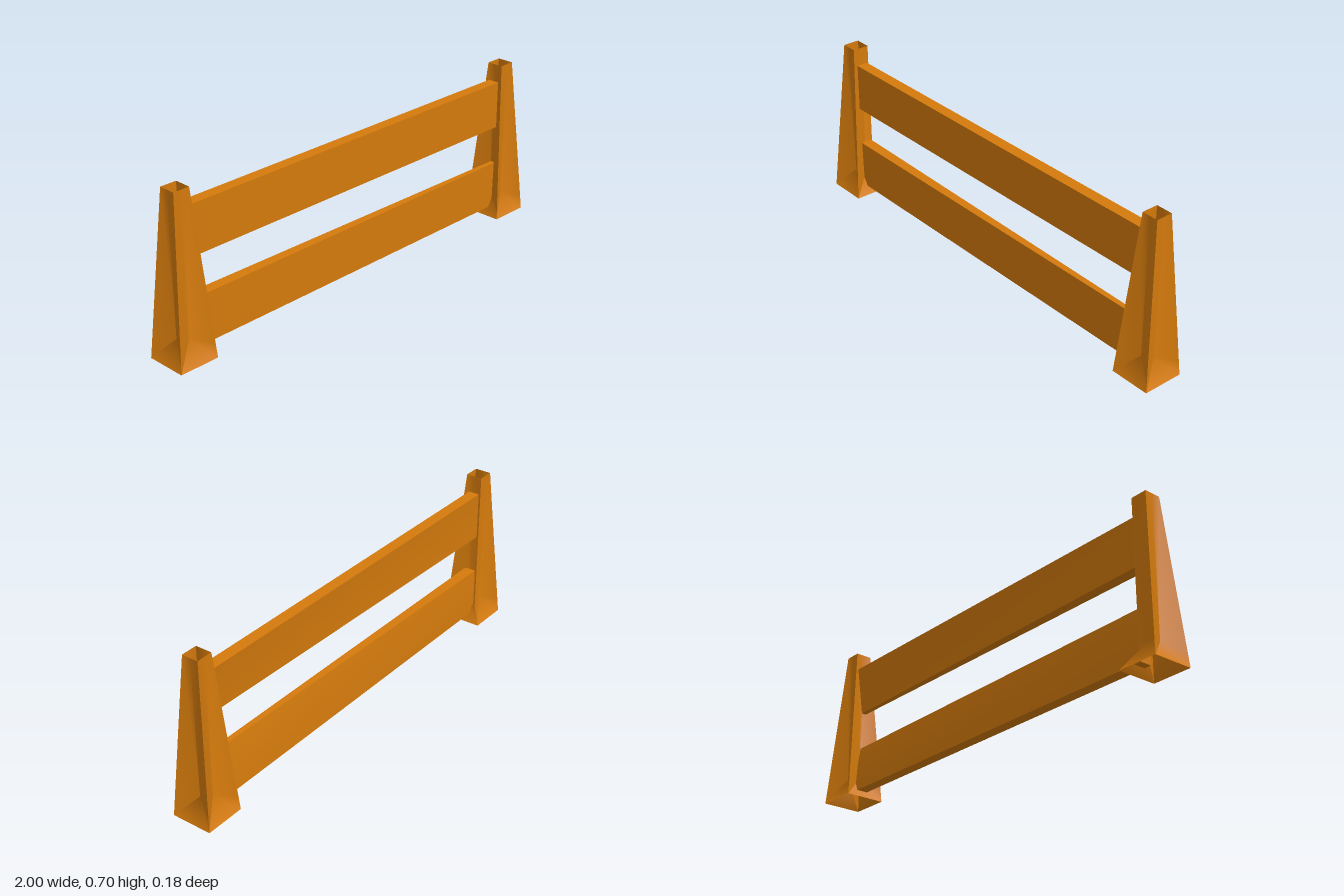
import * as THREE from 'three';

const orange = new THREE.MeshStandardMaterial({ color: 0xd47a0c, side: THREE.DoubleSide });
orange.name = 'orange';

const CORNERS = [[-1, 1], [1, 1], [1, -1], [-1, -1]];
const BASE = 0.088, TOP = 0.036, FOLD = 0.033, HEIGHT = 0.7;

// Hollow tapering post: each side folds inward along a valley above a flared foot.
// The corner numbered "pinched" drops straight down before flaring out.
function postGeometry(pinched = -1) {
  const corner = (i, r, y) => [CORNERS[i][0] * r, y, CORNERS[i][1] * r];
  const knee = (i) => {
    const y = 0.06;
    return corner(i, i === pinched ? TOP : BASE + (TOP - BASE) * y / HEIGHT, y);
  };
  const positions = [], index = [];
  for (let i = 0; i < 4; i++) {
    const j = (i + 1) % 4, n = i * 11;
    const [ax, az] = CORNERS[i], [bx, bz] = CORNERS[j];
    const middle = (r, y) => [(ax + bx) / 2 * r, y, (az + bz) / 2 * r];
    const footA = corner(i, BASE, 0), fold = middle(FOLD, 0.095), topMid = middle(TOP, HEIGHT);
    // Left panel: 0 foot, 1 fold, 2 knee, 3 top corner, 4 top middle
    positions.push(...footA, ...fold, ...knee(i), ...corner(i, TOP, HEIGHT), ...topMid);
    // Foot and right panel, split off by a crease: 5, 6 foot, 7 fold, 8 knee, 9, 10 top
    positions.push(...footA, ...corner(j, BASE, 0), ...fold, ...knee(j),
      ...corner(j, TOP, HEIGHT), ...topMid);
    const tris = [0, 1, 2, 2, 1, 3, 1, 4, 3, 5, 6, 7, 6, 8, 7, 8, 9, 7, 7, 9, 10];
    index.push(...tris.map((k) => k + n));
  }
  const g = new THREE.BufferGeometry();
  g.setAttribute('position', new THREE.Float32BufferAttribute(positions, 3));
  g.setIndex(index);
  g.computeVertexNormals();
  return g;
}

// Board whose back edge, on the side facing the gap, thins toward +x
function railGeometry(bottom, top, gapSide) {
  const g = new THREE.BoxGeometry(1.75, top - bottom, 0.05);
  const p = g.attributes.position;
  for (let i = 0; i < p.count; i++) {
    if (p.getX(i) > 0 && p.getY(i) * gapSide > 0 && p.getZ(i) < 0) p.setZ(i, 0.004);
  }
  g.computeVertexNormals();
  return g;
}

export function createModel() {
  const group = new THREE.Group();
  group.name = 'railFence';

  // End posts
  for (const side of [-1, 1]) {
    const post = new THREE.Mesh(postGeometry(side < 0 ? 2 : -1), orange);
    post.name = side < 0 ? 'postNegativeX' : 'postPositiveX';
    post.position.x = side * 0.912;
    group.add(post);
  }

  // Horizontal boards
  for (const [name, bottom, top, gapSide] of [
    ['lowerRail', 0.034, 0.243, 1], ['upperRail', 0.413, 0.622, -1]]) {
    const rail = new THREE.Mesh(railGeometry(bottom, top, gapSide), orange);
    rail.name = name;
    rail.position.set(0, (top + bottom) / 2, -0.003);
    group.add(rail);
  }
  return group;
}
